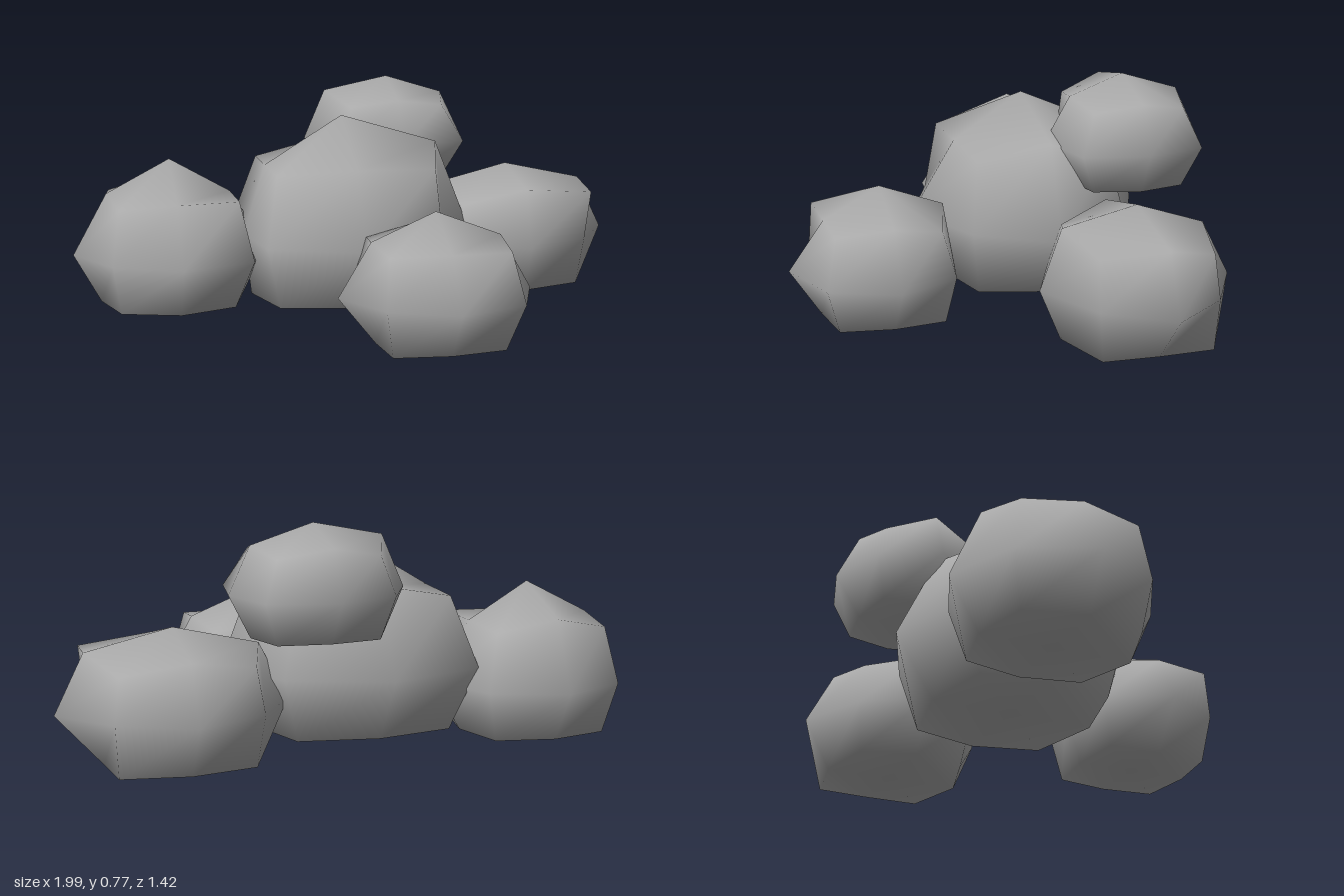
import * as THREE from 'three';
import { mergeVertices } from 'three/addons/utils/BufferGeometryUtils.js';

// Each rock is a rounded 2 x 2 x 2 cube, scaled, dented and cut flat below.
// dents: direction of a corner as x,y,z signs -> distance factor from the centre.
const ROCKS = [
  { name: 'centreRock', centre: [-0.06, 0.267, -0.155], radii: [0.465, 0.41, 0.395], floor: 0.05,
    dents: { '-00': 0.76, '00-': 1.05, '-+0': 0.84, '++0': 1.05, '0++': 0.87, '-0-': 1.05, '-0+': 0.96, '+0+': 0.92,
      '-++': 1.03, '+++': 1.04, '--0': 1.0, '0-+': 1.05 } },
  { name: 'frontRock', centre: [0.129, 0.16, 0.398], radii: [0.329, 0.273, 0.311], floor: 0,
    dents: { '00-': 0.82, '-+0': 0.94, '++0': 0.96, '0++': 0.87, '-0+': 0.93, '+0+': 1.03, '+0-': 0.95,
      '-++': 1.08, '+++': 1.06, '++-': 0.96, '--0': 0.87, '+-0': 0.92, '0-+': 0.93, '0--': 0.9 } },
  { name: 'rightRock', centre: [-0.655, 0.193, -0.285], radii: [0.345, 0.331, 0.34], floor: 0.02,
    dents: { '-+0': 0.92, '++0': 0.88, '0++': 0.86, '-0-': 0.97, '-0+': 0.93, '+0+': 1.06,
      '+++': 1.08, '--0': 1.03, '0-+': 1.1 } },
  { name: 'leftRock', centre: [0.61, 0.187, -0.335], radii: [0.384, 0.26, 0.323], floor: 0.016,
    dents: { '++0': 1.06, '-+0': 1.05, '0++': 1.1, '0+-': 1.0, '+0-': 0.86, '+0+': 0.9, '-0+': 0.93, '-0-': 0.9,
      '+++': 1.18, '++-': 0.97, '-++': 0.96, '+-0': 0.84, '0-+': 1.1 } },
  { name: 'upperRock', centre: [0.175, 0.555, -0.44], radii: [0.295, 0.22, 0.272], floor: 0.415,
    dents: { '+00': 0.95, '-00': 1.05, '++0': 1.0, '-+0': 1.12, '0++': 0.97, '0+-': 1.02, '+0-': 1.07, '+0+': 1.13,
      '-0+': 0.88, '0--': 0.95 } },
];

function signKey(v) {
  return [v.x, v.y, v.z].map((c) => (c > 0.1 ? '+' : c < -0.1 ? '-' : '0')).join('');
}

function rockGeometry({ centre, radii, floor, dents }) {
  let geometry = new THREE.BoxGeometry(2, 2, 2, 2, 2, 2);
  geometry.clearGroups();
  geometry.deleteAttribute('uv');
  geometry.deleteAttribute('normal');
  geometry = mergeVertices(geometry, 1e-3);
  const position = geometry.attributes.position;
  const scale = new THREE.Vector3(...radii);
  const offset = new THREE.Vector3(...centre);
  const v = new THREE.Vector3();
  for (let i = 0; i < position.count; i++) {
    v.fromBufferAttribute(position, i).normalize();
    const key = signKey(v);
    v.multiply(scale).multiplyScalar(dents[key] ?? 1).add(offset);
    if (key[1] === '-') v.y = floor; // flat underside
    position.setXYZ(i, v.x, v.y, v.z);
  }
  geometry.computeVertexNormals();
  return geometry;
}

export function createModel() {
  const group = new THREE.Group();
  group.name = 'rockPile';
  const stone = new THREE.MeshStandardMaterial({ color: 0xaaaaaa });
  stone.name = 'grey stone';
  for (const rock of ROCKS) {
    const mesh = new THREE.Mesh(rockGeometry(rock), stone);
    mesh.name = rock.name;
    group.add(mesh);
  }
  return group;
}
